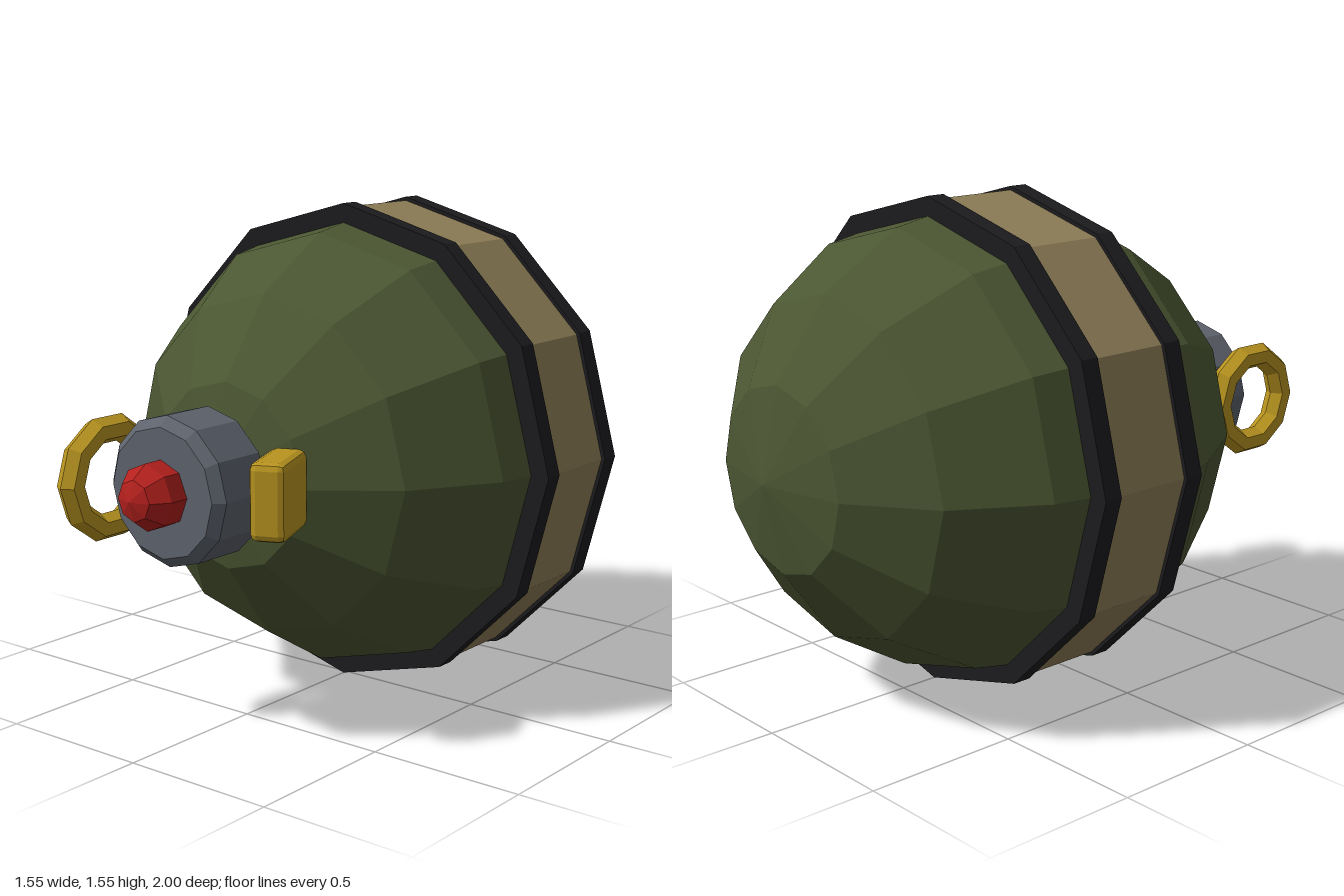
import * as THREE from 'three';
import { RoundedBoxGeometry } from 'three/addons/geometries/RoundedBoxGeometry.js';

const CENTRE_Y = 0.775;
const BODY_Z = -0.18;

const paint = (color) => new THREE.MeshStandardMaterial({ color, flatShading: true });

export function createModel() {
  const group = new THREE.Group();
  const olive = paint(0x4b5632);
  const tan = paint(0x8f7f58);
  const black = paint(0x1c1c1f);
  const steel = paint(0x5e636d);
  const red = paint(0xb3201d);
  const brass = paint(0xb8941f);

  const add = (name, geometry, material, x, y, z) => {
    const mesh = new THREE.Mesh(geometry, material);
    mesh.name = name;
    mesh.position.set(x, y, z);
    group.add(mesh);
    return mesh;
  };
  // Turns a shape built around y so that its axis runs along z
  const alongZ = (geometry) => geometry.rotateX(Math.PI / 2);

  // Faceted body, slightly stretched along its axis
  const body = alongZ(new THREE.SphereGeometry(0.75, 12, 8)).scale(1, 1, 0.82 / 0.75);
  add('body', body, olive, 0, CENTRE_Y, BODY_Z);

  // Wide band with a dark rim on each edge
  add('band', alongZ(new THREE.CylinderGeometry(0.763, 0.763, 0.32, 12)), tan, 0, CENTRE_Y, BODY_Z);
  for (const [name, side] of [['frontRim', 1], ['backRim', -1]]) {
    const rim = alongZ(new THREE.CylinderGeometry(0.775, 0.775, 0.062, 12));
    add(name, rim, black, 0, CENTRE_Y, BODY_Z + side * 0.165);
  }

  // Bevelled fuse neck
  const neckProfile = [[0, 0.625], [0.195, 0.625], [0.225, 0.655], [0.225, 0.828], [0.195, 0.857], [0, 0.857]]
    .map(([r, z]) => new THREE.Vector2(r, z));
  add('fuseNeck', alongZ(new THREE.LatheGeometry(neckProfile, 12)), steel, 0, CENTRE_Y, 0);

  // Button on the neck
  add('button', alongZ(new THREE.SphereGeometry(0.105, 8, 5)), red, 0, CENTRE_Y, 0.885);

  // Pull ring standing on the right of the neck
  const ring = new THREE.TorusGeometry(0.153, 0.042, 6, 10).rotateY(Math.PI / 2);
  add('pullRing', ring, brass, -0.267, CENTRE_Y, 0.805);

  // Tilted lever block on the left of the neck
  const lever = add('lever', new RoundedBoxGeometry(0.11, 0.23, 0.23, 1, 0.022), brass, 0.286, 0.78, 0.676);
  lever.rotation.y = 0.4;

  return group;
}
